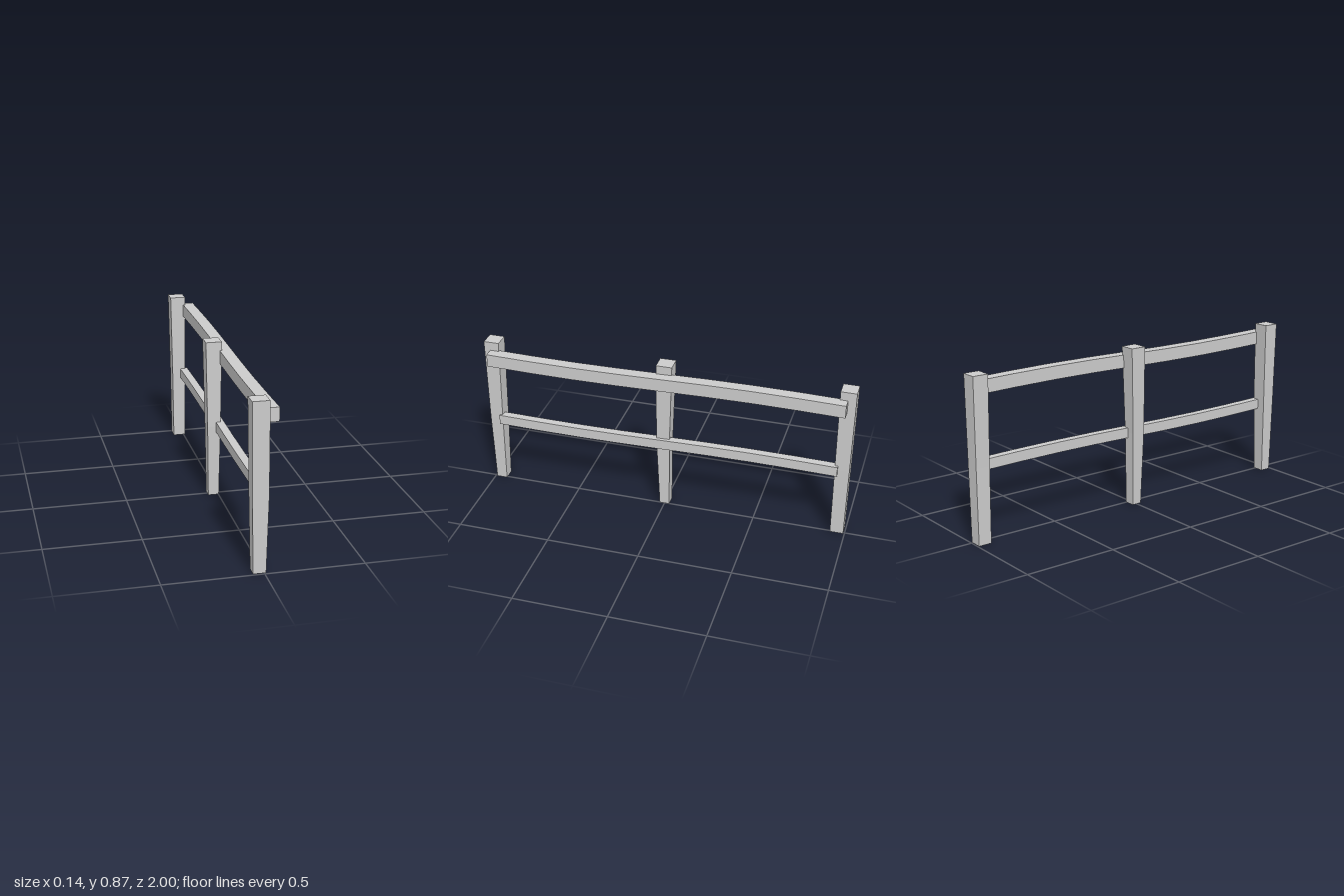
import * as THREE from 'three';

const material = new THREE.MeshStandardMaterial({ color: 0xcccccc, flatShading: true });

// Square timber whose unit box is reshaped: place(u, v, t) maps the box
// (u, v across, t along, all 0..1) to the final position.
function timber(name, segs, alongY, place) {
  const geo = new THREE.BoxGeometry(1, 1, 1, 1, alongY ? segs : 1, alongY ? 1 : segs);
  const p = geo.attributes.position;
  for (let i = 0; i < p.count; i++) {
    const x = p.getX(i) + 0.5, y = p.getY(i) + 0.5, z = p.getZ(i) + 0.5;
    p.setXYZ(i, ...(alongY ? place(x, z, y) : place(x, y, z)));
  }
  geo.computeVertexNormals();
  const mesh = new THREE.Mesh(geo, material);
  mesh.name = name;
  return mesh;
}

const lerp = THREE.MathUtils.lerp;

// Post from three rings [y, x0, x1, z0, z1], bottom to top
function post(name, rings) {
  return timber(name, 2, true, (u, v, t) => {
    const [y, x0, x1, z0, z1] = rings[Math.round(t * 2)];
    return [lerp(x0, x1, u), y, lerp(z0, z1, v)];
  });
}

// Rail with a gentle wave: sagging towards the front, rising towards the back
function rail(name, { x0, x1, y0, y1, z0, z1, wave }) {
  return timber(name, 8, false, (u, v, t) => [
    lerp(x0, x1, u),
    lerp(y0, y1, v) + wave * Math.sin((t - 0.5) * -2 * Math.PI),
    lerp(z0, z1, t),
  ]);
}

export function createModel() {
  const fence = new THREE.Group();
  fence.name = 'fence';

  // Hand-hewn posts, each tapering a little differently
  fence.add(
    post('frontPost', [
      [0, -0.055, 0.009, 0.932, 0.99],
      [0.4, -0.063, 0.018, 0.924, 0.995],
      [0.865, -0.07, 0.015, 0.917, 1],
    ]),
    post('middlePost', [
      [0, -0.056, 0.002, -0.027, 0.027],
      [0.4, -0.062, 0.008, -0.029, 0.043],
      [0.865, -0.07, 0.015, -0.043, 0.043],
    ]),
    post('backPost', [
      [0, -0.06, 0.008, -0.993, -0.922],
      [0.4, -0.063, 0.012, -0.996, -0.919],
      [0.865, -0.07, 0.015, -1, -0.916],
    ]),
  );

  // Heavy upper rail and slimmer lower rail
  fence.add(
    rail('upperRail', { x0: 0.004, x1: 0.069, y0: 0.748, y1: 0.818, z0: -0.957, z1: 0.966, wave: 0.007 }),
    rail('lowerRail', { x0: -0.016, x1: 0.028, y0: 0.368, y1: 0.423, z0: -0.935, z1: 0.939, wave: 0.006 }),
  );
  return fence;
}
